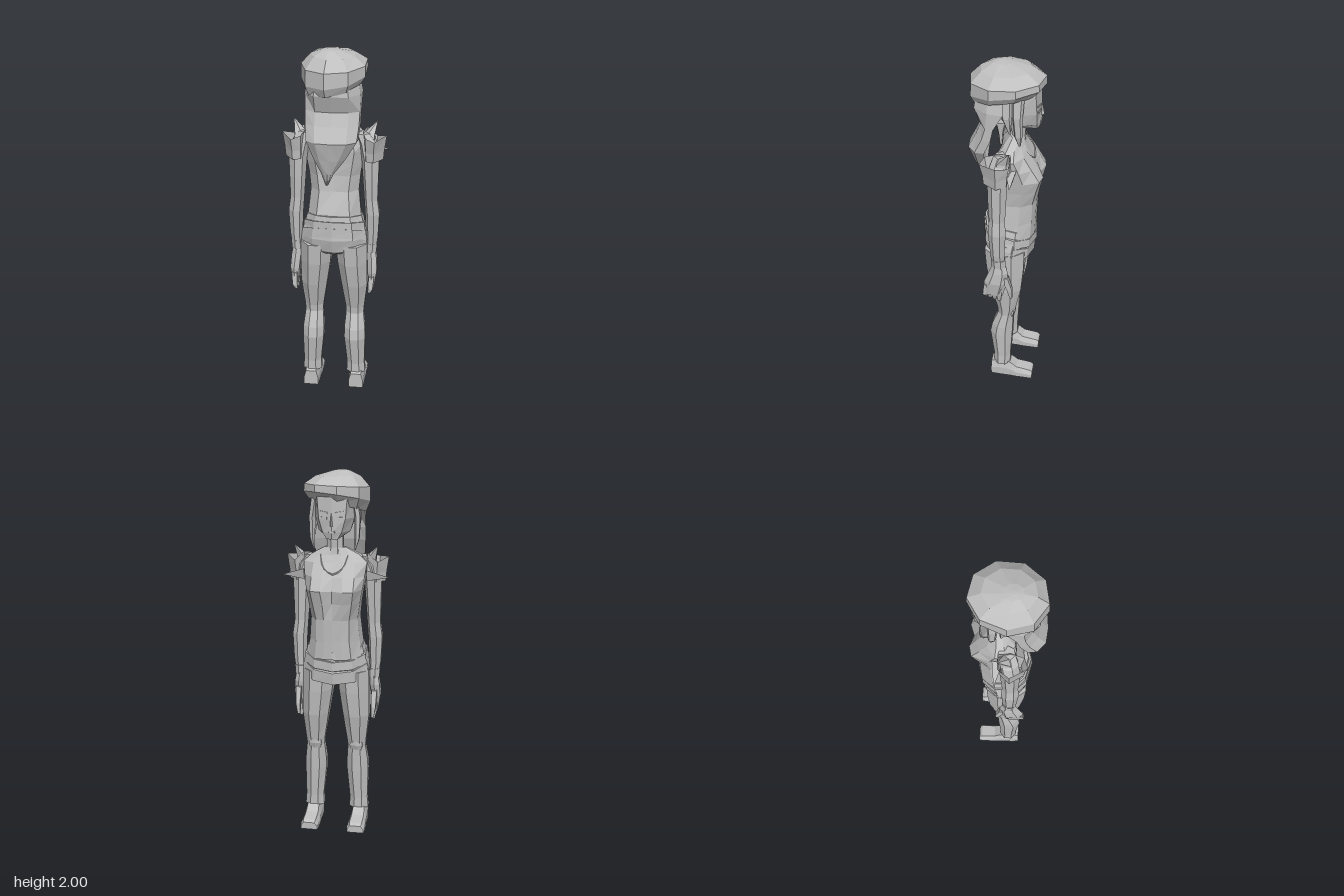
import * as THREE from 'three';

const grey = new THREE.MeshStandardMaterial({ color: 0xbfbfbf, flatShading: true, side: THREE.DoubleSide });
grey.name = 'plainGrey';

// Skin a list of equal-length rings of [x, y, z]; caps are fans, winding is set from the volume
function loft(name, rings, caps = true) {
  const n = rings[0].length, pos = rings.flat(2), idx = [];
  for (let r = 0; r < rings.length - 1; r++) {
    for (let i = 0; i < n; i++) {
      const j = (i + 1) % n, a = r * n, b = a + n;
      idx.push(a + i, b + i, a + j, a + j, b + i, b + j);
    }
  }
  if (caps) {
    const last = (rings.length - 1) * n;
    for (let i = 1; i < n - 1; i++) idx.push(0, i, i + 1, last, last + i + 1, last + i);
  }
  const v = k => new THREE.Vector3(...pos.slice(k * 3, k * 3 + 3));
  const mid = v(0);
  let volume = 0;
  for (let t = 0; t < idx.length; t += 3) {
    const [a, b, c] = [0, 1, 2].map(k => v(idx[t + k]).sub(mid));
    volume += a.dot(b.cross(c));
  }
  if (volume < 0) idx.reverse();
  const g = new THREE.BufferGeometry();
  g.setAttribute('position', new THREE.Float32BufferAttribute(pos, 3));
  g.setIndex(idx);
  const flat = g.toNonIndexed();
  flat.computeVertexNormals();
  const mesh = new THREE.Mesh(flat, grey);
  mesh.name = name;
  return mesh;
}

// Elliptical ring; tz and tx tilt it along z and x. Rings of 4, 8... sides are sized across their flats
function oval(n, y, cx, cz, rx, rz, tz = 0, tx = 0) {
  const k = n % 4 ? 1 : 1 / Math.cos(Math.PI / n);
  return Array.from({ length: n }, (_, i) => {
    const a = (i + 0.5) / n * Math.PI * 2;
    const x = cx + Math.cos(a) * rx * k, z = cz + Math.sin(a) * rz * k;
    return [x, y + z * tz + x * tx, z];
  });
}
const ovals = (n, rows) => rows.map(r => oval(n, ...r));

// Ring from half a profile, front centre to back centre, mirrored in x
const mirrored = ([y, ...half]) => [
  ...half.map(([x, z, dy = 0]) => [x, y + dy, z]),
  ...half.slice(1, -1).reverse().map(([x, z, dy = 0]) => [-x, y + dy, z]),
];
const flip = (s, rings) => rings.map(r => r.map(([x, y, z]) => [x * s, y, z]));

export function createModel() {
  const model = new THREE.Group();
  model.name = 'standingFigure';
  const add = (...m) => model.add(...m);

  // Torso: centre front, inner bust, outer bust, side front, side back, back, centre back
  add(loft('torso', [
    [1, [0, -0.16], [0.05, -0.157], [0.1, -0.14], [0.15, -0.08], [0.157, 0.02], [0.1, 0.09], [0, 0.105]],
    [1.1, [0, -0.163], [0.045, -0.16], [0.09, -0.145], [0.137, -0.08], [0.145, 0], [0.09, 0.075], [0, 0.085]],
    [1.22, [0, -0.168], [0.045, -0.166], [0.09, -0.148], [0.127, -0.09], [0.132, -0.01], [0.08, 0.045], [0, 0.04]],
    [1.31, [0, -0.168], [0.05, -0.183], [0.105, -0.168], [0.14, -0.1], [0.14, -0.01], [0.09, 0.04], [0, 0.03]],
    [1.38, [0, -0.178], [0.06, -0.2], [0.115, -0.187], [0.152, -0.105], [0.15, 0], [0.1, 0.045], [0, 0.03]],
    [1.45, [0, -0.152], [0.055, -0.162], [0.115, -0.145], [0.162, -0.085], [0.165, 0], [0.11, 0.05], [0, 0.035]],
    [1.52, [0, -0.118], [0.05, -0.12], [0.11, -0.103], [0.172, -0.06], [0.172, 0], [0.1, 0.04], [0, 0.03]],
    [1.56, [0, -0.1], [0.04, -0.1], [0.08, -0.085], [0.13, -0.055], [0.13, -0.015], [0.08, 0.01], [0, 0.01]],
    [1.6, [0, -0.09], [0.02, -0.088], [0.04, -0.08], [0.055, -0.06], [0.055, -0.035], [0.03, -0.02], [0, -0.015]],
  ].map(mirrored)));
  // Scooped neckline trim
  const neckline = new THREE.CatmullRomCurve3([
    [-0.075, 1.56, -0.085], [-0.055, 1.5, -0.13], [0, 1.465, -0.145], [0.055, 1.5, -0.13], [0.075, 1.56, -0.085],
  ].map(p => new THREE.Vector3(...p)));
  const trim = new THREE.Mesh(new THREE.TubeGeometry(neckline, 10, 0.005, 4), grey);
  trim.name = 'necklineTrim';
  add(trim);

  // Hips, shirt hem and sloping belts
  add(loft('hips', ovals(10, [
    [0.865, 0, -0.005, 0.15, 0.09], [0.885, 0, -0.008, 0.192, 0.118],
    [0.95, 0, -0.008, 0.19, 0.138, 0.1], [1.03, 0, -0.02, 0.172, 0.14, 0.25]])));
  add(loft('shirtHem', ovals(10, [
    [1.035, 0, -0.025, 0.168, 0.14, 0.2], [1.075, 0, -0.027, 0.158, 0.136, 0.2]])));
  add(loft('upperBelt', ovals(10, [
    [0.985, 0, -0.02, 0.18, 0.145, 0.3], [1.035, 0, -0.02, 0.175, 0.145, 0.3]])));
  add(loft('lowerBelt', ovals(10, [
    [0.925, 0, -0.01, 0.192, 0.142, 0.45], [0.985, 0, -0.013, 0.184, 0.145, 0.4]])));

  // Neck and head
  add(loft('neck', ovals(8, [
    [1.55, 0, -0.06, 0.05, 0.04], [1.6, 0, -0.06, 0.043, 0.034], [1.7, 0, -0.06, 0.043, 0.042]])));
  add(loft('head', [
    [1.655, [0, -0.168], [0.03, -0.158], [0.05, -0.09, 0.01], [0.04, -0.02, 0.04], [0, 0, 0.04]],
    [1.69, [0, -0.178], [0.05, -0.158], [0.085, -0.08], [0.08, 0.01, 0.02], [0, 0.04, 0.02]],
    [1.76, [0, -0.178], [0.07, -0.16], [0.105, -0.07], [0.1, 0.04], [0, 0.08]],
    [1.88, [0, -0.175], [0.08, -0.155], [0.108, -0.06], [0.1, 0.06], [0, 0.1]],
  ].map(mirrored)));
  add(loft('nose', [
    [[-0.011, 1.722, -0.17], [0.011, 1.722, -0.17], [0, 1.725, -0.19]],
    [[-0.006, 1.79, -0.17], [0.006, 1.79, -0.17], [0, 1.79, -0.179]]]));
  const plate = (name, w, h, x, y, z, ry, rz = 0) => {
    const m = new THREE.Mesh(new THREE.BoxGeometry(w, h, 0.006), grey);
    m.name = name;
    m.position.set(x, y, z);
    m.rotation.set(0, ry, rz);
    add(m);
  };
  plate('mouth', 0.035, 0.008, 0, 1.693, -0.176, 0);

  // Slouched cap, lower towards the back and the right
  add(loft('cap', ovals(9, [
    [1.825, 0, 0.01, 0.12, 0.14, -0.15, 0.2], [1.815, 0, 0.01, 0.155, 0.17, -0.17, 0.2],
    [1.86, 0, 0, 0.178, 0.2, -0.16, 0.12], [1.92, 0, 0, 0.176, 0.197, -0.06, 0.04],
    [1.97, -0.005, 0.005, 0.12, 0.135, -0.03, 0], [1.995, -0.02, 0.025, 0.045, 0.05], [2, -0.025, 0.03, 0.01, 0.01]])));

  // Long hair at the back: y, x, half width, outer, inner and edge z
  const hair = [
    [1.88, 0, 0.13, 0.15, 0.08, 0], [1.78, 0, 0.15, 0.165, 0.1, 0], [1.69, 0, 0.147, 0.133, 0.09, 0.05],
    [1.62, 0, 0.145, 0.16, 0.1, 0.065], [1.54, 0, 0.137, 0.2, 0.13, 0.1],
    [1.44, -0.01, 0.085, 0.178, 0.13, 0.115], [1.36, -0.02, 0.035, 0.16, 0.125, 0.12],
    [1.29, -0.025, 0.006, 0.14, 0.13, 0.132]];
  add(loft('longHair', hair.map(([y, x, w, out, inn, edge]) => [
    [x + w, y, edge], [x + w * 0.97, y, (edge + out) / 2], [x + w * 0.6, y, out - 0.008], [x, y, out],
    [x - w * 0.6, y, out - 0.008], [x - w * 0.97, y, (edge + out) / 2], [x - w, y, edge],
    [x - w * 0.6, y, inn], [x, y, inn], [x + w * 0.6, y, inn]])));

  for (const s of [1, -1]) {
    const side = s > 0 ? 'left' : 'right';
    const pair = (part, rings, caps) => add(loft(side + part, flip(s, rings), caps));

    // Eyes and brows
    plate(side + 'Eye', 0.034, 0.012, s * 0.04, 1.765, -0.169, s * -0.25);
    plate(side + 'Brow', 0.045, 0.008, s * 0.042, 1.795, -0.168, s * -0.25, s * 0.15);

    // Hair locks beside the face
    pair('FrontLock', ovals(5, [
      [1.59, 0.11, -0.08, 0.004, 0.006], [1.65, 0.12, -0.075, 0.014, 0.022],
      [1.76, 0.122, -0.07, 0.017, 0.028], [1.87, 0.105, -0.07, 0.02, 0.035]]));
    pair('RearLock', ovals(5, [
      [1.66, 0.115, -0.03, 0.004, 0.005], [1.75, 0.12, -0.015, 0.015, 0.027], [1.86, 0.108, -0.01, 0.02, 0.038]]));

    // Arm with wrist cuff
    pair('Arm', ovals(7, [
      [0.88, 0.207, 0.015, 0.028, 0.036], [0.96, 0.212, 0.018, 0.035, 0.04], [1.1, 0.212, 0.02, 0.042, 0.049],
      [1.18, 0.203, 0.02, 0.039, 0.044], [1.3, 0.2, 0.02, 0.045, 0.05], [1.42, 0.197, 0.018, 0.051, 0.054],
      [1.5, 0.18, 0.008, 0.05, 0.055], [1.55, 0.15, 0, 0.04, 0.045]]));
    pair('Cuff', ovals(7, [[0.87, 0.208, 0.014, 0.032, 0.04], [0.92, 0.209, 0.015, 0.034, 0.041]]));

    // Hand: palm, fingers and thumb
    pair('Palm', ovals(6, [
      [0.67, 0.213, 0.045, 0.018, 0.055], [0.76, 0.218, 0.03, 0.029, 0.064],
      [0.83, 0.213, 0.014, 0.03, 0.052], [0.89, 0.207, 0.012, 0.025, 0.033]]));
    for (let i = 0; i < 4; i++) {
      const z = 0.01 + i * 0.026;
      pair('Finger' + (i + 1), ovals(4, [
        [0.622 + i * 0.008, 0.205, z, 0.007, 0.009], [0.67, 0.212, z, 0.013, 0.014],
        [0.74, 0.216, z * 0.9, 0.015, 0.015]]));
    }
    pair('Thumb', ovals(4, [
      [0.65, 0.208, -0.055, 0.007, 0.007], [0.71, 0.213, -0.05, 0.012, 0.014], [0.8, 0.213, -0.022, 0.015, 0.018]]));

    // Flared jagged shoulder sleeve with spikes
    const around = [[0.28, 0.018], [0.22, 0.11], [0.17, 0.09], [0.155, 0.02], [0.17, -0.045], [0.225, -0.045]];
    const rim = [1.545, 1.53, 1.545, 1.56, 1.57, 1.52];
    pair('ShoulderSleeve', [
      around.map(([x, z]) => [0.197 + (x - 0.197) * 0.8, 1.41, 0.015 + (z - 0.015) * 0.78]),
      around.map(([x, z]) => [0.197 + (x - 0.197) * 0.85, 1.46, 0.015 + (z - 0.015) * 0.82]),
      around.map(([x, z], i) => [x, rim[i], z])], false);
    pair('ShoulderPeak', ovals(5, [
      [1.46, 0.185, 0.005, 0.045, 0.055], [1.53, 0.18, -0.005, 0.04, 0.04], [1.6, 0.222, -0.04, 0.004, 0.005]]));
    pair('ShoulderSpike', [
      [[0.17, 1.42, -0.06], [0.17, 1.46, -0.02], [0.17, 1.48, -0.075]],
      [[0.29, 1.44, -0.058], [0.289, 1.442, -0.056], [0.289, 1.442, -0.06]]]);

    // Leg with trouser hem
    pair('Leg', ovals(8, [
      [0.09, 0.128, 0.006, 0.054, 0.048], [0.15, 0.127, 0.006, 0.05, 0.048], [0.32, 0.12, 0.012, 0.06, 0.064],
      [0.38, 0.119, 0.006, 0.059, 0.06], [0.47, 0.117, -0.014, 0.05, 0.044], [0.51, 0.117, -0.018, 0.053, 0.052],
      [0.66, 0.114, -0.014, 0.073, 0.086], [0.8, 0.103, -0.008, 0.083, 0.104], [0.92, 0.098, -0.005, 0.086, 0.11]]));
    pair('KneePad', ovals(6, [
      [0.45, 0.117, -0.045, 0.035, 0.014], [0.48, 0.117, -0.05, 0.042, 0.02], [0.51, 0.117, -0.052, 0.035, 0.018]]));

    // Shoe: z, half width, height
    pair('Shoe', [
      [0.07, 0.042, 0.09], [0.02, 0.045, 0.11], [-0.045, 0.046, 0.095],
      [-0.08, 0.049, 0.065], [-0.16, 0.05, 0.052], [-0.177, 0.046, 0.04],
    ].map(([z, w, h]) => [
      [0.132 - w, 0, z], [0.132 + w, 0, z], [0.132 + w, h * 0.5, z],
      [0.132 + w * 0.7, h, z], [0.132 - w * 0.7, h, z], [0.132 - w, h * 0.5, z]]));
  }
  return model;
}
